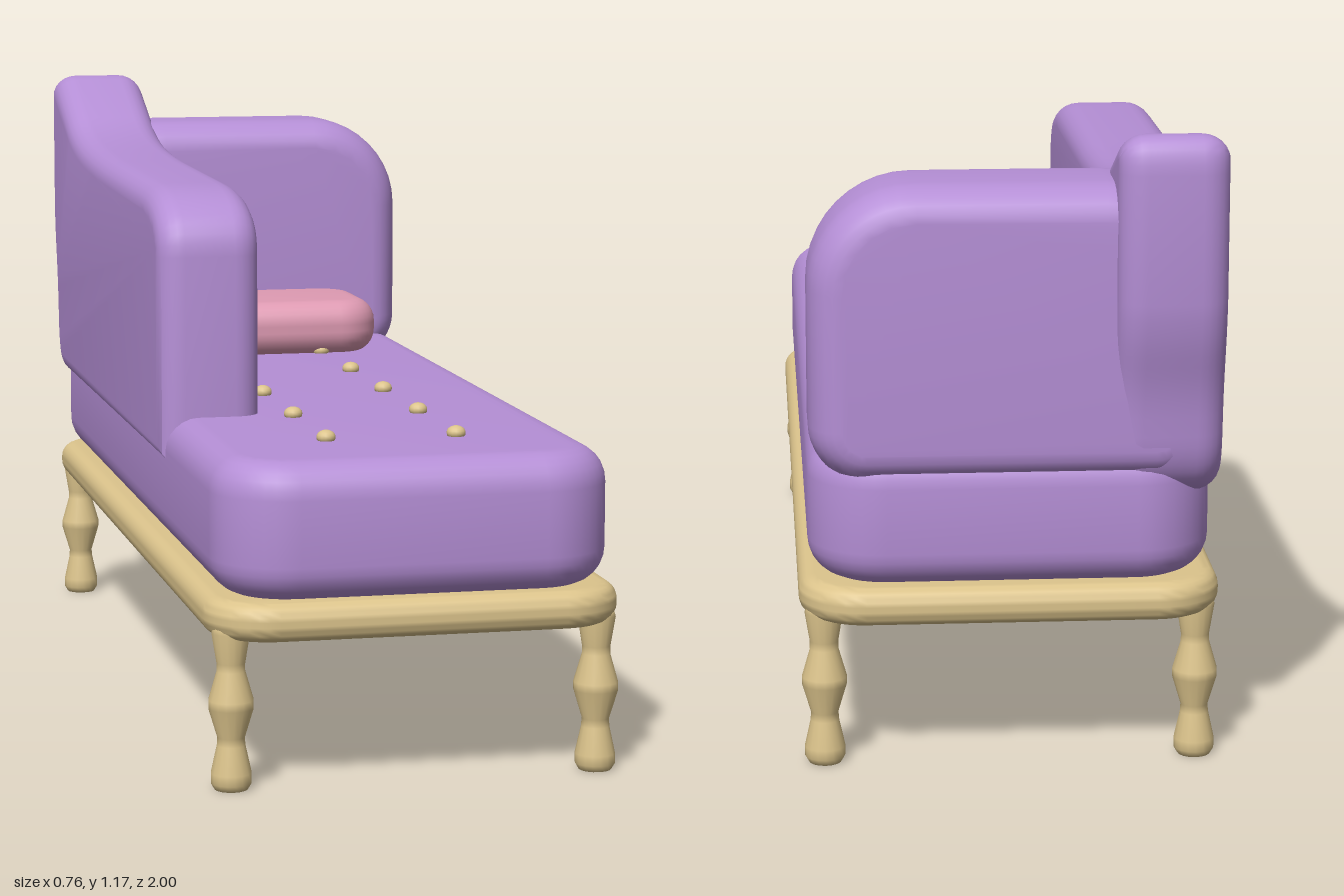
import * as THREE from 'three';
import { mergeVertices, toCreasedNormals } from 'three/addons/utils/BufferGeometryUtils.js';

const mat = (name, color) => {
  const m = new THREE.MeshStandardMaterial({ color });
  m.name = name;
  return m;
};

// Rounded rectangle centred on the origin, with separate top and bottom corner radii
function roundedRect(w, h, rTop, rBottom = rTop) {
  const x = w / 2, y = h / 2, k = 0.45, a = rTop, b = rBottom;
  const s = new THREE.Shape();
  s.moveTo(-x + b, -y);
  s.lineTo(x - b, -y);
  s.bezierCurveTo(x - b * k, -y, x, -y + b * k, x, -y + b);
  s.lineTo(x, y - a);
  s.bezierCurveTo(x, y - a * k, x - a * k, y, x - a, y);
  s.lineTo(-x + a, y);
  s.bezierCurveTo(-x + a * k, y, -x, y - a * k, -x, y - a);
  s.lineTo(-x, -y + b);
  s.bezierCurveTo(-x, -y + b * k, -x + b * k, -y, -x + b, -y);
  return s;
}

// Softly bevelled slab, centred along its thickness, smooth all round
function slab(shape, depth, bevelDepth, bevelSize = bevelDepth) {
  const g = new THREE.ExtrudeGeometry(shape, {
    depth: depth - 2 * bevelDepth, curveSegments: 10,
    bevelThickness: bevelDepth, bevelSize, bevelOffset: -bevelSize, bevelSegments: 6,
  });
  g.translate(0, 0, -depth / 2 + bevelDepth);
  g.deleteAttribute('normal');
  g.deleteAttribute('uv');
  return toCreasedNormals(mergeVertices(g, 1e-4), 0.7);
}

export function createModel() {
  const group = new THREE.Group();
  const fabric = mat('purple fabric', 0xb58fd6);
  const gold = mat('pale gold wood', 0xdcc48c);
  const pink = mat('pink fabric', 0xdf9bb3);

  const add = (name, geometry, material, x, y, z) => {
    const m = new THREE.Mesh(geometry, material);
    m.name = name;
    m.position.set(x, y, z);
    group.add(m);
    return m;
  };
  const flat = (shape, ...args) => slab(shape, ...args).rotateX(-Math.PI / 2);

  // Wooden base and seat
  add('baseFrame', flat(roundedRect(0.765, 1.95, 0.12), 0.07, 0.03), gold, 0, 0.31, 0.02);
  add('seatCushion', flat(roundedRect(0.73, 1.935, 0.14), 0.25, 0.065, 0.06), fabric, 0, 0.469, 0.0225);

  // Turned legs
  const legProfile = [
    [0, 0], [0.03, 0], [0.037, 0.012], [0.037, 0.03], [0.026, 0.08], [0.025, 0.095],
    [0.041, 0.148], [0.041, 0.163], [0.026, 0.215], [0.026, 0.23], [0.035, 0.285], [0.03, 0.3], [0, 0.3],
  ].map(([r, y]) => new THREE.Vector2(r, y));
  const legGeometry = new THREE.LatheGeometry(legProfile, 16);
  for (const x of [-0.338, 0.338])
    for (const z of [0.915, -0.872]) add('leg', legGeometry, gold, x, 0, z);

  // Backrest, its rear face bowed outward in the middle
  const back = slab(roundedRect(0.72, 0.54, 0.19, 0.1), 0.25, 0.08, 0.06);
  const p = back.attributes.position;
  for (let i = 0; i < p.count; i++) {
    const x = p.getX(i);
    if (p.getZ(i) < 0) p.setZ(i, p.getZ(i) - 0.02 * (1 - (x / 0.36) ** 2));
  }
  add('backrest', back, fabric, 0.003, 0.803, -0.82);

  // Long side rest, sweeping up to a peak at the rear
  const side = new THREE.Shape();
  side.moveTo(0.425, 0.5);
  side.lineTo(0.425, 0.9);
  side.bezierCurveTo(0.425, 0.98, 0.35, 1.02, 0.2, 1.022);
  side.lineTo(-0.25, 1.028);
  side.bezierCurveTo(-0.5, 1.035, -0.64, 1.045, -0.74, 1.085);
  side.lineTo(-0.91, 1.158);
  side.bezierCurveTo(-0.97, 1.175, -0.998, 1.165, -1.0, 1.1);
  side.lineTo(-1.0, 0.87);
  side.bezierCurveTo(-0.99, 0.76, -0.965, 0.75, -0.955, 0.62);
  side.bezierCurveTo(-0.95, 0.55, -0.92, 0.51, -0.87, 0.5);
  add('sideRest', slab(side, 0.196, 0.05, 0.045).rotateY(-Math.PI / 2), fabric, -0.279, 0, 0);

  // Small pillow
  add('pillow', flat(roundedRect(0.4, 0.305, 0.09), 0.115, 0.05, 0.045), pink, 0.05, 0.648, -0.538);

  // Tufting buttons in two rows
  const button = new THREE.SphereGeometry(0.018, 14, 10).scale(1, 0.75, 1);
  for (const x of [-0.125, 0.12])
    for (let i = 0; i < 6; i++) add('button', button, gold, x, 0.6, 0.735 - i * 0.287);

  return group;
}
